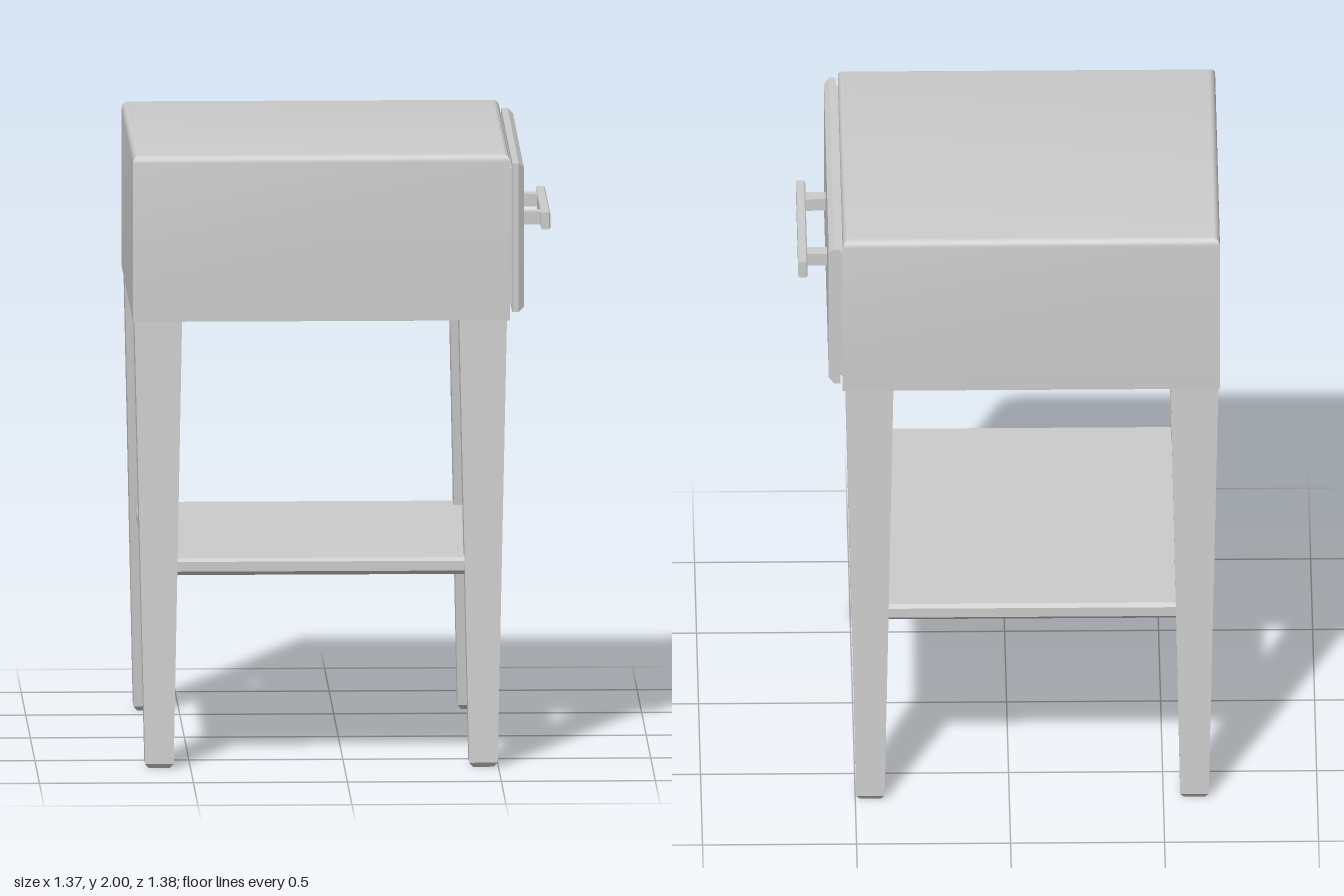
import * as THREE from 'three';
import { toCreasedNormals } from 'three/addons/utils/BufferGeometryUtils.js';

const material = new THREE.MeshStandardMaterial({ color: 0xcccccc });

// Solid through rectangular rings [y, x0, x1, z0, z1], listed from bottom to top
function loft(rings, crease = 0.3) {
  const pos = [];
  const corners = rings.map(([y, x0, x1, z0, z1]) =>
    [[x0, y, z0], [x0, y, z1], [x1, y, z1], [x1, y, z0]]);
  const quad = (a, b, c, d) => pos.push(...a, ...b, ...c, ...a, ...c, ...d);
  for (let r = 0; r < corners.length - 1; r++) {
    const lo = corners[r], hi = corners[r + 1];
    for (let i = 0; i < 4; i++) {
      const j = (i + 1) % 4;
      quad(lo[i], lo[j], hi[j], hi[i]);
    }
  }
  const top = corners[corners.length - 1], bot = corners[0];
  quad(...top);
  quad(bot[3], bot[2], bot[1], bot[0]);
  const g = new THREE.BufferGeometry();
  g.setAttribute('position', new THREE.Float32BufferAttribute(pos, 3));
  g.computeVertexNormals();
  return toCreasedNormals(g, crease);
}

const inset = (y, [x0, x1, z0, z1], d) => [y, x0 + d, x1 - d, z0 + d, z1 - d];

export function createModel() {
  const model = new THREE.Group();
  model.name = 'nightstand';
  const add = (name, geometry, x = 0, y = 0, z = 0, parent = model) => {
    const mesh = new THREE.Mesh(geometry, material);
    mesh.name = name;
    mesh.position.set(x, y, z);
    parent.add(mesh);
    return mesh;
  };

  // Cabinet with rounded top edges
  const body = [-0.685, 0.54, -0.612, 0.612], r = 0.025;
  const bodyRings = [inset(1.455, body, 0)];
  for (let i = 0; i <= 5; i++) {
    const a = (i / 5) * Math.PI / 2;
    bodyRings.push(inset(2 - r + r * Math.sin(a), body, r * (1 - Math.cos(a))));
  }
  add('cabinet', loft(bodyRings, 0.6));

  // Drawer front, chamfered around its outer face (lofted along y, then turned to face +x)
  const panel = [-1.97, -1.482, -0.61, 0.61];
  const drawer = loft([
    inset(0.54, panel, 0.02), inset(0.547, panel, 0.02), inset(0.547, panel, 0),
    inset(0.568, panel, 0), inset(0.585, panel, 0.015),
  ]).rotateZ(-Math.PI / 2);
  add('drawerFront', drawer);

  // Pull handle: bar on two posts
  const handle = new THREE.Group();
  handle.name = 'handle';
  model.add(handle);
  const bar = [-1.76, -1.705, -0.29, 0.29], b = 0.004;
  add('handleBar', loft([
    inset(0.65, bar, b), inset(0.65 + b, bar, 0), inset(0.68 - b, bar, 0), inset(0.68, bar, b),
  ]).rotateZ(-Math.PI / 2), 0, 0, 0, handle);
  for (const s of [-1, 1]) {
    add('handlePost', new THREE.BoxGeometry(0.075, 0.042, 0.05), 0.6175, 1.732, s * 0.194, handle);
  }

  // Four splayed, tapered legs with bevelled feet
  const cx = -0.075;
  const legAt = (y, sx, sz, d = 0) => {
    const t = y / 1.46;
    const mix = (lo, hi) => lo + (hi - lo) * t;
    const xs = [cx + sx * mix(0.48, 0.45), cx + sx * mix(0.572, 0.605)].sort((p, q) => p - q);
    const zs = [sz * mix(0.578, 0.453), sz * mix(0.69, 0.605)].sort((p, q) => p - q);
    return inset(y, [...xs, ...zs], d);
  };
  for (const sx of [-1, 1]) for (const sz of [-1, 1]) {
    add('leg', loft([legAt(0, sx, sz, 0.012), legAt(0.015, sx, sz), legAt(1.46, sx, sz)], 0.1));
  }

  // Lower shelf with chamfered rims
  const shelf = [-0.64, 0.49, -0.635, 0.635];
  add('shelf', loft([
    inset(0.625, shelf, 0.014), inset(0.638, shelf, 0),
    inset(0.67, shelf, 0), inset(0.68, shelf, 0.014),
  ]));

  return model;
}
